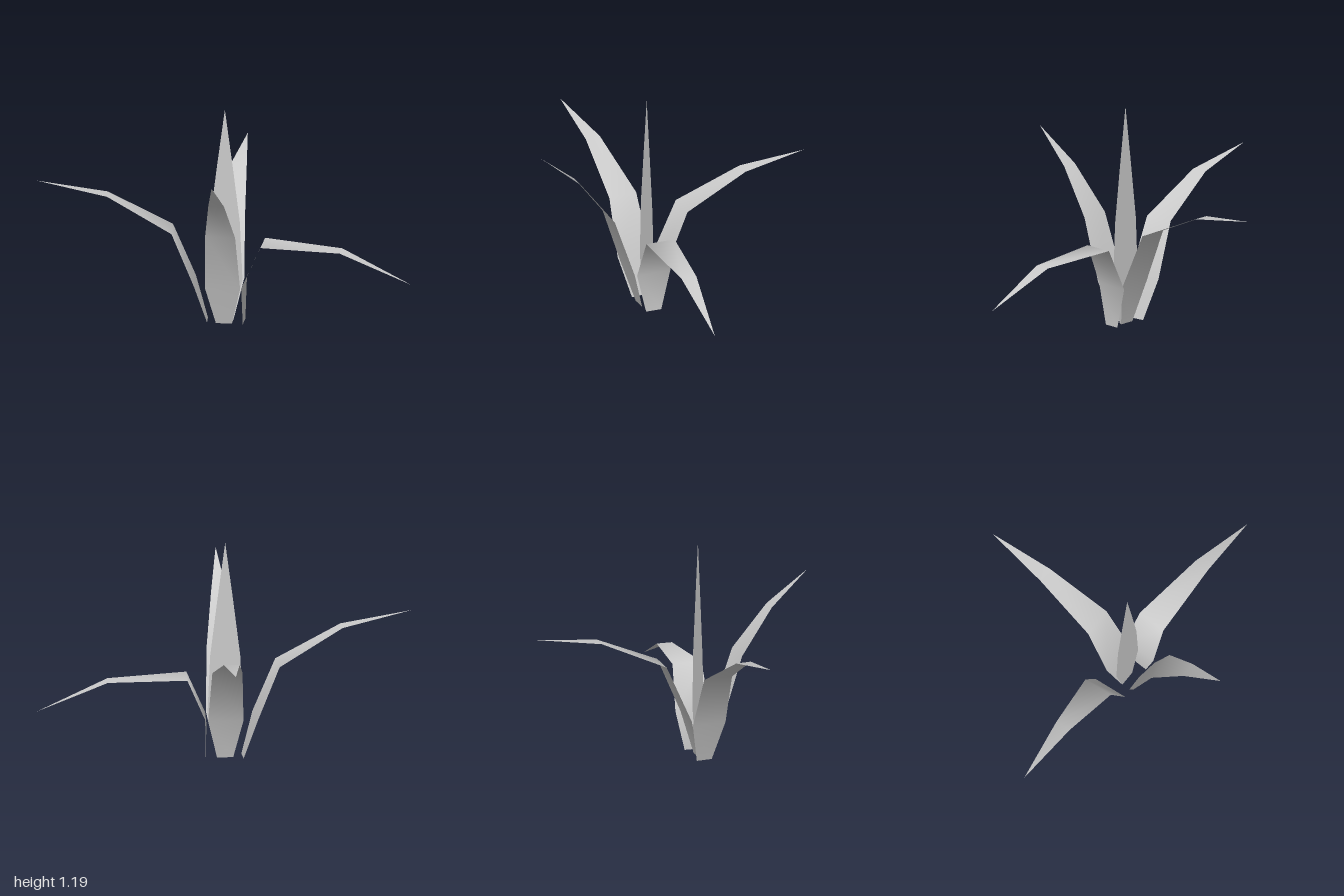
import * as THREE from 'three';

// Half-width of every blade at its five stations, base to tip
const HALF_WIDTHS = [0.043, 0.094, 0.08, 0.042, 0];

// base: [x, z] of the foot; heading: [x, z] the blade leans towards;
// profile: [distance along the heading, height] at each station
const BLADES = [
  { name: 'leftBlade', base: [0.1, 0.143], heading: [0.9, 0.025],
    profile: [[0, 0], [0, 0.22], [0.1, 0.45], [0.52, 0.43], [0.9, 0.26]] },
  { name: 'rightBlade', base: [-0.095, 0.145], heading: [-0.905, 0.077],
    profile: [[0, 0], [0.067, 0.22], [0.187, 0.51], [0.53, 0.7], [0.908, 0.77]] },
  { name: 'frontBlade', base: [-0.002, 0.185], heading: [0.012, 0.57],
    profile: [[0, 0], [0.065, 0.22], [0.175, 0.55], [0.355, 0.79], [0.57, 0.97]] },
  { name: 'backBlade', base: [-0.002, 0.13], heading: [-0.002, -0.89],
    profile: [[0, 0], [0.055, 0.22], [0.19, 0.53], [0.54, 0.685], [0.89, 0.73]] },
  { name: 'uprightBlade', base: [-0.003, 0.14], heading: [0, 1],
    profile: [[0, 0], [0, 0.24], [0, 0.56], [0, 0.87], [0, 1.19]] },
];

// Flat-sectioned leaf that bends along its profile and narrows to a point
function bladeGeometry({ base, heading, profile }) {
  const dir = new THREE.Vector2(...heading).normalize();
  const positions = [];
  const index = [];
  const last = profile.length - 1;
  profile.forEach(([d, y], i) => {
    const x = base[0] + dir.x * d;
    const z = base[1] + dir.y * d;
    const w = HALF_WIDTHS[i];
    // left and right edge points; the tip is a single point
    for (const s of i < last ? [-1, 1] : [0]) {
      positions.push(x + dir.y * w * s, y, z - dir.x * w * s);
    }
    const a = i * 2;
    if (i < last) index.push(a, a + 1, a + 2);
    if (i < last - 1) index.push(a + 1, a + 3, a + 2);
  });
  const geometry = new THREE.BufferGeometry();
  geometry.setAttribute('position', new THREE.Float32BufferAttribute(positions, 3));
  geometry.setIndex(index);
  geometry.computeVertexNormals();
  return geometry;
}

export function createModel() {
  const group = new THREE.Group();
  group.name = 'grassTuft';
  const material = new THREE.MeshStandardMaterial({ color: 0xcccccc, side: THREE.DoubleSide });
  for (const blade of BLADES) {
    const mesh = new THREE.Mesh(bladeGeometry(blade), material);
    mesh.name = blade.name;
    group.add(mesh);
  }
  return group;
}
